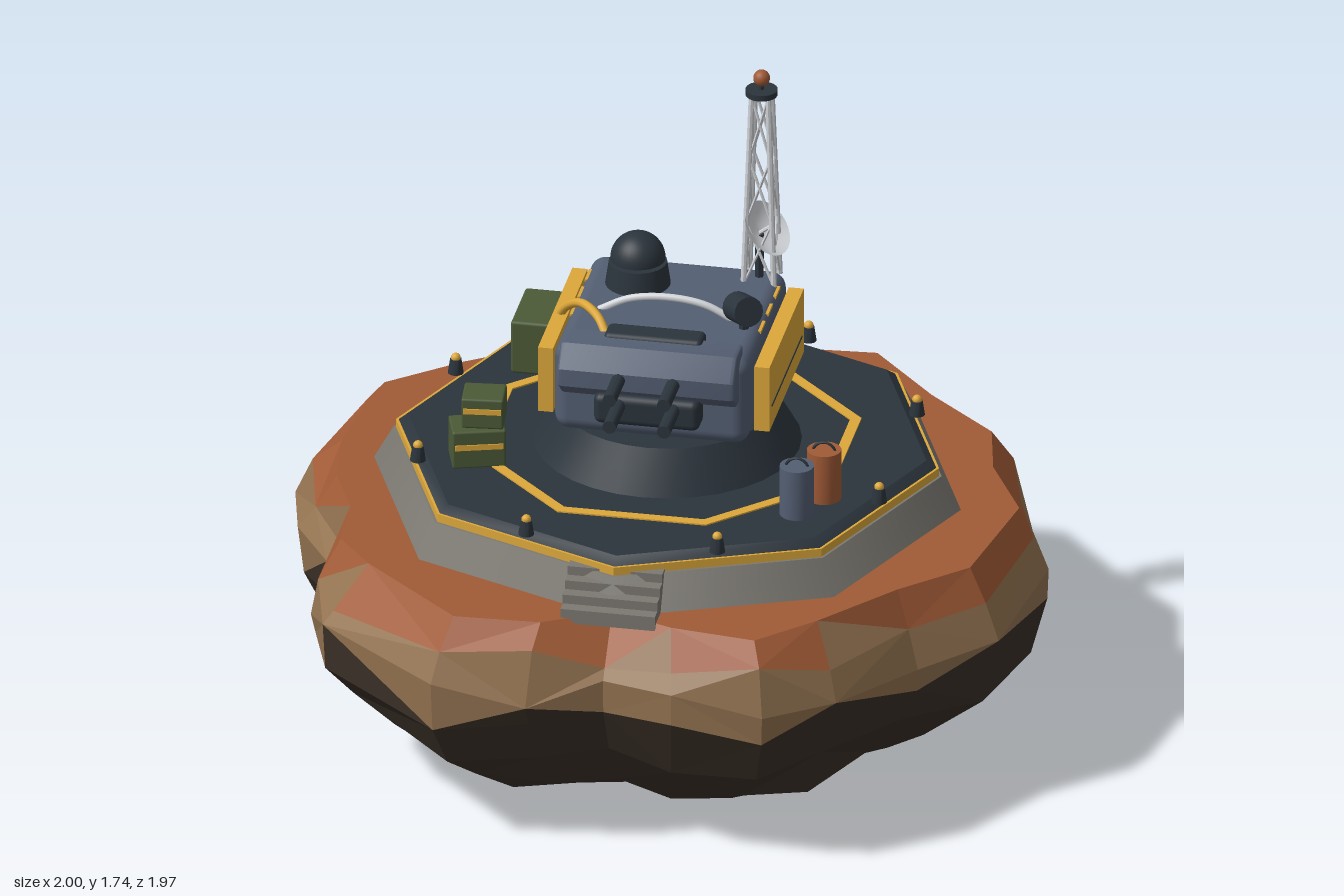
import * as THREE from 'three';
import { toCreasedNormals } from 'three/addons/utils/BufferGeometryUtils.js';
import { RoundedBoxGeometry } from 'three/addons/geometries/RoundedBoxGeometry.js';

const mat = (name, color) => Object.assign(new THREE.MeshStandardMaterial({ color }), { name });
const rust = mat('rust', 0xa05a36);
const tan = mat('tan rock', 0x927250);
const darkRock = mat('dark rock', 0x3a3027);
const concrete = mat('concrete', 0x7c7972);
const deckMat = mat('dark deck', 0x2b343c);
const gold = mat('gold', 0xdea83a);
const slate = mat('slate', 0x545f73);
const light = mat('light metal', 0xd2d5d9);
light.side = THREE.DoubleSide;
const olive = mat('olive', 0x4b5a37);

const DECK = 0.785, ROOF = 1.145, CZ = 0.04; // deck height, roof height, deck centre z

export function createModel() {
  const model = new THREE.Group();
  model.name = 'outpost';

  const add = (name, geo, material, x = 0, y = 0, z = 0, parent = model) => {
    const m = new THREE.Mesh(geo, material);
    m.name = name;
    m.position.set(x, y, z);
    parent.add(m);
    return m;
  };
  const cyl = (rt, rb, h, n = 20) => toCreasedNormals(new THREE.CylinderGeometry(rt, rb, h, n), 0.6);
  const box = (w, h, d) => new THREE.BoxGeometry(w, h, d);
  const rod = (name, a, b, r, material, parent = model, n = 6) => {
    const d = b.clone().sub(a);
    const m = add(name, cyl(r, r, d.length(), n), material, 0, 0, 0, parent);
    m.position.copy(a).addScaledVector(d, 0.5);
    m.quaternion.setFromUnitVectors(new THREE.Vector3(0, 1, 0), d.normalize());
    return m;
  };
  const V = (x, y, z) => new THREE.Vector3(x, y, z);

  // Rock: one plan outline scaled through rings, split into colour bands
  let seed = 7;
  const rnd = () => (seed = (seed * 16807) % 2147483647) / 2147483647 - 0.5;
  const outline = [[0, .9], [.19, .95], [.43, .95], [.6, .82], [.765, .56], [.945, .39], [1, 0], [.91, -.24],
    [.84, -.45], [.63, -.64], [.42, -.85], [.24, -.89], [0, -.99], [-.19, -.95], [-.37, -.8], [-.73, -.6],
    [-.9, -.41], [-1, -.04], [-.95, .18], [-.84, .35], [-.84, .56], [-.775, .73], [-.44, .98], [-.19, .98]];
  // y, outline scale, height jitter, scale jitter
  const rings = [[.65, .9, 0, .07], [.565, .965, .07, .03], [.48, 1, .07, 0], [.39, .985, .07, .03],
    [.26, .93, .06, .05], [.14, .8, .04, .06], [.05, .64, .03, .06], [0, .45, 0, .06]];
  const pts = rings.map(([y, s, jy, js]) => outline.map(([x, z]) => {
    const k = s + rnd() * js;
    return V(x * k, y + rnd() * jy, z * k);
  }));
  const bands = { rust: [], tan: [], dark: [] };
  const face = (band, ...vs) => vs.forEach(v => bands[band].push(v.x, v.y, v.z));
  const n = outline.length, top = V(0, .65, 0), bottom = V(0, 0, 0);
  for (let j = 0; j < n; j++) {
    const k = (j + 1) % n;
    face('rust', top, pts[0][j], pts[0][k]);
    face('dark', bottom, pts[7][k], pts[7][j]);
    for (let i = 0; i < 7; i++) {
      const A = pts[i][j], B = pts[i][k], C = pts[i + 1][j], D = pts[i + 1][k];
      const tris = (i + j) % 2 ? [[A, C, D], [A, D, B]] : [[A, C, B], [B, C, D]];
      tris.forEach(t => {
        const y = (t[0].y + t[1].y + t[2].y) / 3;
        face(i === 0 && y > .582 ? 'rust' : y > .425 ? 'tan' : 'dark', ...t);
      });
    }
  }
  [['rockTop', 'rust', rust], ['rockSide', 'tan', tan], ['rockUnderside', 'dark', darkRock]].forEach(([name, b, m]) => {
    const g = new THREE.BufferGeometry();
    g.setAttribute('position', new THREE.Float32BufferAttribute(bands[b], 3));
    g.computeVertexNormals();
    add(name, g, m);
  });

  // Octagonal base, trim and deck
  add('foundation', new THREE.CylinderGeometry(.725, .785, .11, 8), concrete, 0, .688, CZ);
  add('deckTrim', cyl(.718, .718, .026, 8), gold, 0, .753, CZ);
  add('deck', cyl(.685, .712, .02, 8), deckMat, 0, .775, CZ);
  for (let i = 0; i < 4; i++)
    add('step', box(.25, .04 + .025 * i, .15 - .033 * i), concrete, 0, .635 + (.04 + .025 * i) / 2, .765 - .0165 * i);

  // Painted octagon line
  const octagon = (P, r) => {
    const p = new P();
    for (let i = 0; i < 8; i++) {
      const a = (i + .5) * Math.PI / 4;
      p[i ? 'lineTo' : 'moveTo'](Math.cos(a) * r, Math.sin(a) * r);
    }
    p.closePath();
    return p;
  };
  const lineShape = octagon(THREE.Shape, .513);
  lineShape.holes.push(octagon(THREE.Path, .483));
  add('deckLine', new THREE.ExtrudeGeometry(lineShape, { depth: .004, bevelEnabled: false }), gold, 0, DECK, CZ)
    .rotation.x = -Math.PI / 2;

  // Deck lamps
  for (let i = 0; i < 8; i++) {
    const a = (i + .5) * Math.PI / 4, x = Math.sin(a) * .66, z = CZ + Math.cos(a) * .66;
    add('lampBase', cyl(.015, .021, .04, 12), deckMat, x, DECK + .02, z);
    add('lamp', new THREE.SphereGeometry(.013, 12, 8), gold, x, DECK + .043, z);
  }

  // Turret pedestal, hull and side armour
  add('pedestal', cyl(.285, .35, .115, 32), deckMat, 0, DECK + .055, CZ);
  add('hull', new RoundedBoxGeometry(.515, .25, .55, 4, .04), slate, 0, 1.02, 0);
  for (const s of [-1, 1]) {
    add('sidePanel', box(.04, .185, .46), gold, s * .286, 1.017, -.005);
    add('panelSeam', box(.004, .005, .4), deckMat, s * .306, .985, -.005);
    add('panelStrut', cyl(.008, .008, .07, 8), light, s * .28, .915, .05);
    for (const z of [.04, -.06, -.16]) add('roofEdgePlate', box(.02, .008, .06), gold, s * .243, 1.13, z);
  }

  // Gun mantlet with a sloped profile, and four barrels
  const profile = new THREE.Shape([[.22, 1.03], [.285, 1.03], [.325, 1.065], [.325, 1.105], [.285, 1.155], [.22, 1.155]]
    .map(([z, y]) => new THREE.Vector2(z, y)));
  const mantletGeo = new THREE.ExtrudeGeometry(profile,
    { depth: .445, bevelThickness: .012, bevelSize: .01, bevelSegments: 3 }).translate(0, 0, -.2225);
  add('mantlet', toCreasedNormals(mantletGeo, .6), slate).rotation.y = -Math.PI / 2;
  add('lowerMantlet', new RoundedBoxGeometry(.28, .085, .08, 3, .02), deckMat, 0, .998, .292);
  add('roofHousing', new RoundedBoxGeometry(.26, .05, .075, 3, .015), deckMat, 0, 1.15, .205);
  for (const x of [-.072, .072]) for (const y of [1.092, 1.015])
    rod('gunBarrel', V(x, y, .28), V(x, y, .455), .018, deckMat, model, 14);

  // Roof dome raised just clear of its base
  add('domeBase', cyl(.076, .086, .068, 28), deckMat, -.11, 1.174, -.12);
  add('dome', new THREE.SphereGeometry(.072, 28, 12, 0, Math.PI * 2, 0, Math.PI / 2), deckMat, -.11, 1.217, -.12);
  add('domeFloor', cyl(.072, .072, .002, 28), deckMat, -.11, 1.217, -.12);

  // Grab rail, cable and searchlight
  const tube = (name, path, r, m) =>
    add(name, new THREE.TubeGeometry(new THREE.CatmullRomCurve3(path), 24, r, 8), m);
  tube('roofRail', [V(-.18, 1.14, .04), V(-.1, 1.18, .04), V(0, 1.193, .04), V(.1, 1.18, .04), V(.18, 1.14, .04)], .01, light);
  tube('cable', [V(-.3, 1.02, .01), V(-.285, 1.11, .02), V(-.22, 1.18, .09), V(-.16, 1.18, .16), V(-.13, 1.15, .2)], .012, gold);
  rod('searchlightPost', V(.21, 1.13, .08), V(.21, 1.2, .08), .014, deckMat);
  rod('searchlight', V(.185, 1.19, .05), V(.23, 1.21, .115), .04, deckMat, model, 18);

  // Lattice mast with beacon
  const mast = new THREE.Group();
  mast.name = 'mast';
  mast.position.set(.197, 0, -.222);
  model.add(mast);
  const corner = (i, t) => {
    const w = .04 - .018 * t, a = (i % 4 + .5) * Math.PI / 2;
    return V(Math.SQRT2 * w * Math.cos(a), ROOF - .01 + .54 * t, Math.SQRT2 * w * Math.sin(a));
  };
  for (let i = 0; i < 4; i++) {
    rod('mastLeg', corner(i, 0), corner(i, 1), .008, light, mast, 8);
    for (let k = 0; k < 3; k++) {
      rod('mastBrace', corner(i, k / 3), corner(i + 1, (k + 1) / 3), .004, light, mast);
      rod('mastBrace', corner(i + 1, k / 3), corner(i, (k + 1) / 3), .004, light, mast);
    }
  }
  add('mastCap', cyl(.042, .042, .016), deckMat, 0, 1.68, 0, mast);
  rod('beaconStem', V(0, 1.68, 0), V(0, 1.71, 0), .007, deckMat, mast);
  add('beacon', new THREE.SphereGeometry(.022, 16, 12), rust, 0, 1.72, 0, mast);

  // Dish antenna
  const bowl = [0, .025, .05, .078].map(r => new THREE.Vector2(r, r * r * 5));
  const dish = add('dish', new THREE.LatheGeometry(bowl, 24), light, .192, 1.268, -.222);
  const aim = V(.7, .62, .25).normalize();
  dish.quaternion.setFromUnitVectors(V(0, 1, 0), aim);
  rod('dishFeed', dish.position.clone(), dish.position.clone().addScaledVector(aim, .05), .005, light);
  rod('dishMount', V(.192, 1.13, -.215), V(.192, 1.265, -.222), .012, deckMat);

  // Drums with handles
  [[.413, .398, slate], [.465, .296, rust]].forEach(([x, z, m]) => {
    add('drum', cyl(.045, .045, .14, 20), m, x, DECK + .07, z);
    add('drumHandle', new THREE.TorusGeometry(.03, .004, 6, 16, Math.PI), deckMat, x, DECK + .13, z);
  });

  // Stowage box on the turret side and stacked crates with straps
  add('stowageBox', new RoundedBoxGeometry(.112, .15, .2, 2, .008), olive, -.357, 1.01, -.05);
  [[-.46, .838, .258, .14, .106, .105, .3], [-.445, .933, .242, .11, .085, .1, .1]].forEach(([x, y, z, w, h, d, turn]) => {
    const crate = new THREE.Group();
    crate.name = 'crate';
    crate.position.set(x, y, z);
    crate.rotation.y = turn;
    model.add(crate);
    add('crateBody', new RoundedBoxGeometry(w, h, d, 2, .006), olive, 0, 0, 0, crate);
    add('crateStrap', box(w * .9, .015, .006), gold, 0, .008, d / 2, crate);
  });

  return model;
}
